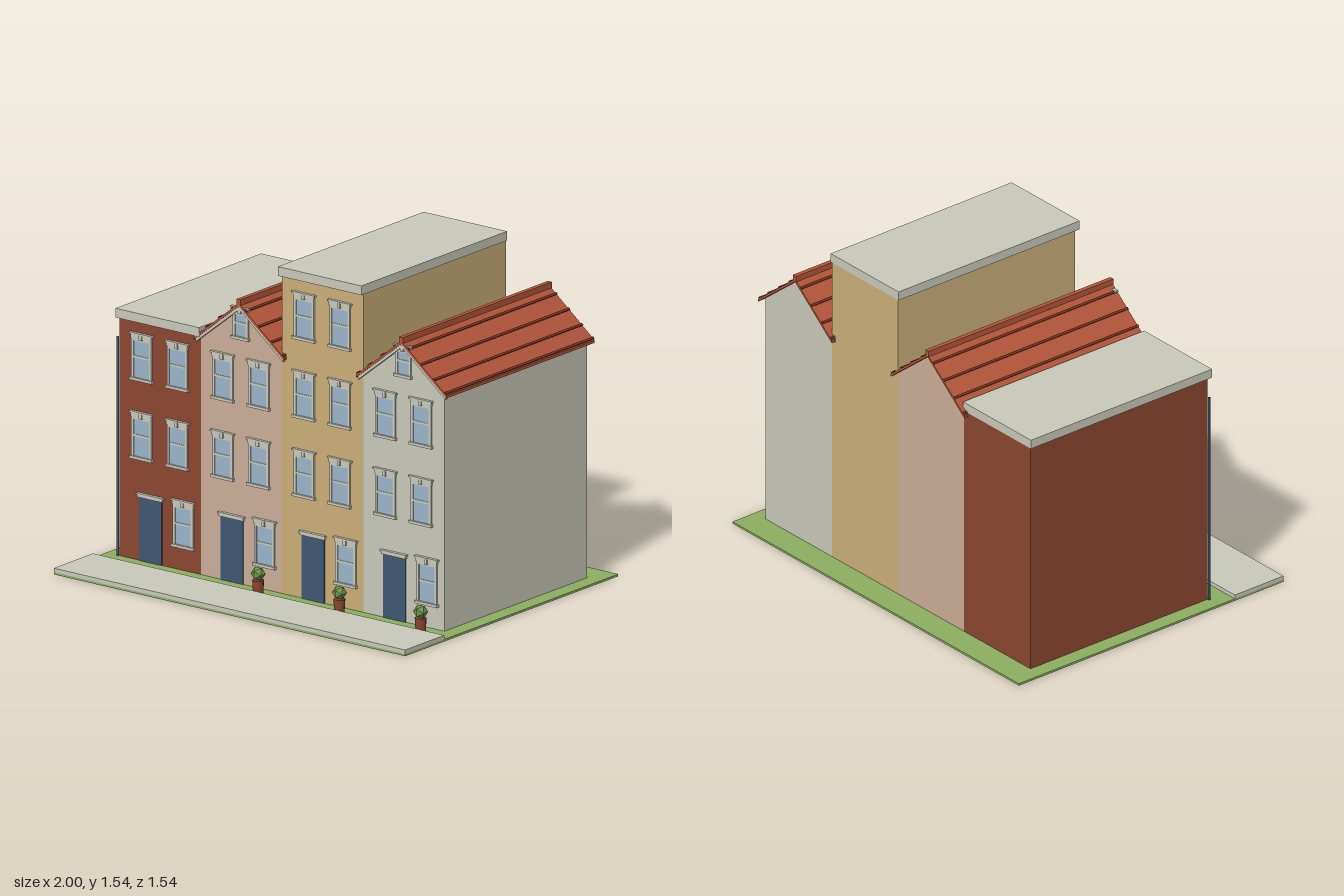
import * as THREE from 'three';

const mat = (name, color) => Object.assign(new THREE.MeshStandardMaterial({ color }), { name });

export function createModel() {
  const M = {
    brick: mat('brick red', 0x8c4630), pink: mat('dusty pink', 0xcbad97),
    tan: mat('sand', 0xcaae79), cream: mat('pale stone', 0xc8c8ba),
    glass: mat('window blue', 0x9ab4ca), navy: mat('door navy', 0x3f5872),
    roof: mat('roof tile', 0xb3563c), roofDark: mat('dark tile', 0x74321f),
    grass: mat('grass', 0x8cae60), leaf: mat('leaf green', 0x6d9648),
  };
  M.leaf.flatShading = true;

  const model = new THREE.Group();
  model.name = 'terraceRow';
  const FRONT = 0.39, BACK = -0.64, W = 0.4625, BASE = 0.01, SLOPE = 0.8;

  const add = (parent, name, geo, material, x = 0, y = 0, z = 0) => {
    const m = new THREE.Mesh(geo, material);
    m.name = name;
    m.position.set(x, y, z);
    parent.add(m);
    return m;
  };
  // Box given by centre x, bottom and top, back and front
  const box = (parent, name, material, x, w, y0, y1, z0, z1) =>
    add(parent, name, new THREE.BoxGeometry(w, y1 - y0, z1 - z0), material, x, (y0 + y1) / 2, (z0 + z1) / 2);
  const group = (parent, name, x = 0, y = 0, z = 0) => {
    const g = new THREE.Group();
    g.name = name;
    g.position.set(x, y, z);
    parent.add(g);
    return g;
  };
  // Outline in x/y pushed along z
  const prism = (parent, name, material, points, z0, z1) =>
    add(parent, name, new THREE.ExtrudeGeometry(new THREE.Shape(points.map(p => new THREE.Vector2(...p))),
      { depth: z1 - z0, bevelEnabled: false }), material, 0, 0, z0);
  // Inverted V band with its top ridge at y
  const chevron = (parent, name, material, half, y, t, z0, z1) => {
    const drop = half * SLOPE;
    return prism(parent, name, material, [[-half, y - drop - t], [0, y - t], [half, y - drop - t],
      [half, y - drop], [0, y], [-half, y - drop]], z0, z1);
  };

  // Sash window: bottom left on the wall plane
  function addWindow(parent, x, y, w = 0.115, h = 0.215) {
    const g = group(parent, 'window', x, y, FRONT);
    const jamb = 0.013, top = h - 0.018;
    box(g, 'glass', M.glass, 0, w - 2 * jamb, 0.01, top, 0, 0.004);
    for (const s of [-1, 1]) box(g, 'jamb', M.cream, s * (w - jamb) / 2, jamb, 0.01, top, 0, 0.008);
    box(g, 'headRail', M.cream, 0, w - 2 * jamb, top - 0.012, top, 0, 0.008);
    box(g, 'meetingRail', M.cream, 0, w - 2 * jamb, h * 0.49, h * 0.49 + 0.01, 0, 0.007);
    box(g, 'sill', M.cream, 0, w + 0.012, 0, 0.013, 0, 0.015);
    box(g, 'lintel', M.cream, 0, w + 0.004, top, h, 0, 0.011);
    box(g, 'lintelCap', M.cream, 0, w + 0.018, h, h + 0.008, 0, 0.015);
    box(g, 'keystone', M.cream, 0, 0.016, top - 0.004, h + 0.008, 0, 0.017);
  }

  function addDoor(parent, x) {
    const g = group(parent, 'door', x, 0, FRONT);
    box(g, 'doorLeaf', M.navy, 0, 0.128, BASE, 0.308, 0, 0.005);
    box(g, 'doorLintel', M.cream, 0, 0.14, 0.308, 0.32, 0, 0.011);
    box(g, 'doorLintelCap', M.cream, 0, 0.15, 0.32, 0.328, 0, 0.016);
  }

  function addPlanter(parent, x) {
    const g = group(parent, 'planter', x, BASE, 0.462);
    add(g, 'pot', new THREE.CylinderGeometry(0.027, 0.023, 0.066, 8), M.brick, 0, 0.033, 0);
    add(g, 'shrub', new THREE.IcosahedronGeometry(0.034, 0), M.leaf, 0, 0.095, 0);
  }

  // Pitched roof with tile courses, ridge cap and verge boards
  function addGableRoof(parent) {
    const g = group(parent, 'gableRoof');
    const z0 = -0.662, z1 = 0.41, ridge = 1.328, half = 0.257, angle = Math.atan(SLOPE);
    chevron(g, 'roofSlopes', M.roof, half, ridge, 0.013, z0, z1);
    chevron(g, 'vergeBoard', M.cream, half - 0.008, ridge - 0.013, 0.016, FRONT, z1 - 0.004);
    for (const s of [-1, 1]) for (const d of [0.04, 0.113, 0.186, 0.25]) {
      const course = add(g, 'tileCourse', new THREE.BoxGeometry(0.011, 0.008, z1 - z0), M.roofDark,
        s * d, ridge - d * SLOPE + 0.003, (z0 + z1) / 2);
      course.rotation.z = -s * angle;
    }
    box(g, 'ridgeCap', M.roof, 0, 0.022, ridge - 0.012, 1.347, z0 - 0.003, z1 + 0.002);
  }

  function addHouse(index, wall, floors, wallTop, gabled) {
    const h = group(model, 'house' + (index + 1), (index - 1.5) * W);
    const r = W / 2;
    const outline = [[-r, BASE], [r, BASE], [r, wallTop]];
    if (gabled) outline.push([0, wallTop + r * SLOPE]);
    outline.push([-r, wallTop]);
    prism(h, 'walls', wall, outline, BACK, FRONT);
    addDoor(h, -0.052);
    addWindow(h, 0.135, 0.115);
    for (let f = 1; f < floors; f++)
      for (const s of [-1, 1]) addWindow(h, s * 0.102, 0.115 + f * 0.368);
    if (gabled) {
      addGableRoof(h);
      addWindow(h, 0, 1.155, 0.088, 0.145);
    } else {
      box(h, 'flatRoofCornice', M.cream, 0, W + 0.012, wallTop, wallTop + 0.043, BACK - 0.002, 0.412);
    }
    if (index > 0) addPlanter(h, 0.152);
  }

  // Ground
  box(model, 'lawn', M.grass, 0, 2, 0, BASE, -0.77, 0.77);
  box(model, 'pavement', M.cream, 0, 2, BASE, 0.029, 0.487, 0.77);

  addHouse(0, M.brick, 3, 1.129, false);
  addHouse(1, M.pink, 3, 1.13, true);
  addHouse(2, M.tan, 4, 1.501, false);
  addHouse(3, M.cream, 3, 1.13, true);

  // Rainwater pipe on the end corner
  add(model, 'downpipe', new THREE.CylinderGeometry(0.006, 0.006, 1.025, 8), M.navy, -0.932, BASE + 0.5125, 0.394);

  return model;
}
